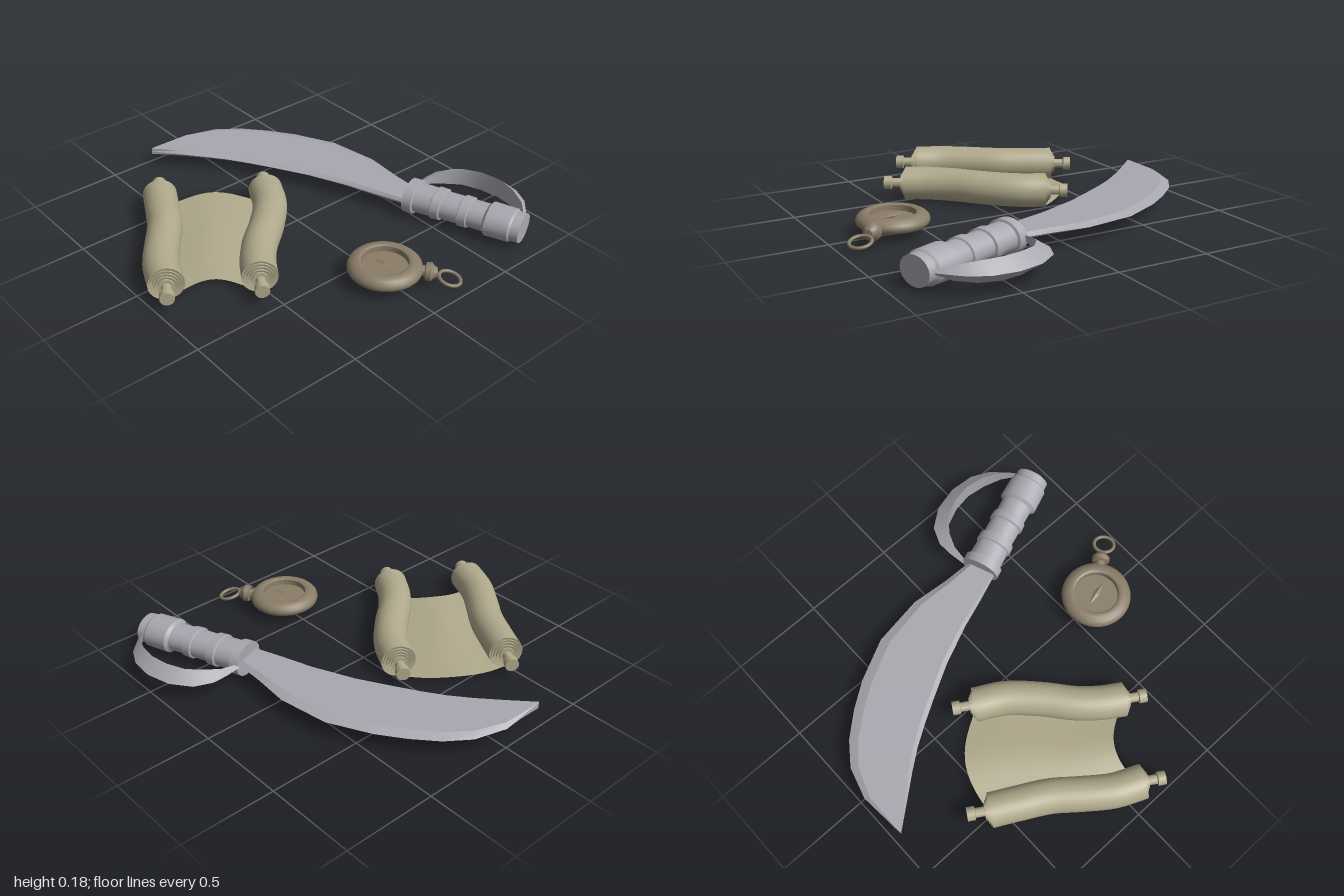
import * as THREE from 'three';
import { toCreasedNormals } from 'three/addons/utils/BufferGeometryUtils.js';

const V3 = (x, y, z) => new THREE.Vector3(x, y, z);
const UP = V3(0, 1, 0);
const MID = 0.1; // height of the sword and scroll axes

const steel = new THREE.MeshStandardMaterial({ color: 0xa9a8b0 });
const parchment = new THREE.MeshStandardMaterial({ color: 0xb0a98c });
const sheetMaterial = new THREE.MeshStandardMaterial({ color: 0xb0a98c, side: THREE.DoubleSide });
const brass = new THREE.MeshStandardMaterial({ color: 0x8a7d68 });

function part(parent, name, geometry, material) {
  const mesh = new THREE.Mesh(geometry, material);
  mesh.name = name;
  parent.add(mesh);
  return mesh;
}

function lathe(profile, sides = 32) {
  const points = profile.map(([r, y]) => new THREE.Vector2(r, y));
  return toCreasedNormals(new THREE.LatheGeometry(points, sides), 0.6);
}

// Lay an object's local y axis along a horizontal direction, its local z staying up
function layAlong(object, position, dir) {
  const d = dir.clone().normalize();
  const basis = new THREE.Matrix4().makeBasis(d.clone().cross(UP), d, UP);
  object.quaternion.setFromRotationMatrix(basis);
  object.position.copy(position);
  return object;
}

// Skin a list of equal-sized rings, closed at both ends
function loft(rings, crease) {
  const n = rings[0].length;
  const last = (rings.length - 1) * n;
  const index = [];
  for (let i = 0; i < rings.length - 1; i++) {
    for (let j = 0; j < n; j++) {
      const a = i * n + j, b = i * n + (j + 1) % n;
      index.push(a, b, a + n, b, b + n, a + n);
    }
  }
  for (let j = 1; j < n - 1; j++) {
    index.push(0, j + 1, j, last, last + j, last + j + 1);
  }
  const geometry = new THREE.BufferGeometry().setFromPoints(rings.flat());
  geometry.setIndex(index);
  return toCreasedNormals(geometry, crease);
}

function createCutlass() {
  const sword = new THREE.Group();
  sword.name = 'cutlass';

  // Blade: [back x, back z, edge x, edge z] from hilt to tip
  const stations = [
    [0.60, 0.32, 0.455, 0.34], [0.605, 0.11, 0.39, 0.17], [0.623, -0.09, 0.333, 0.01],
    [0.58, -0.365, 0.24, -0.20], [0.47, -0.585, 0.14, -0.38], [0.375, -0.72, 0.07, -0.50],
    [0.27, -0.84, 0, -0.61], [0.15, -0.93, -0.08, -0.715], [-0.02, -0.98, -0.17, -0.825],
    [-0.27, -0.962, -0.275, -0.957],
  ];
  const bladeRings = stations.map(([bx, bz, ex, ez]) => {
    const at = (t, y) => V3(bx + (ex - bx) * t, MID + y, bz + (ez - bz) * t);
    const h = 0.017;
    return [at(0, 0), at(0.14, -h), at(0.94, -h), at(1, 0), at(0.94, h), at(0.14, h)];
  });
  part(sword, 'blade', loft(bladeRings, 0.3), steel);

  // Grip: stepped collars, from the blade end to the pommel
  const start = V3(0.53, MID, 0.295);
  const axis = V3(0.22, -0.008, 0.595);
  const profile = [
    [0, 0], [0.106, 0], [0.106, 0.05], [0.092, 0.055], [0.09, 0.15], [0.1, 0.155], [0.098, 0.2],
    [0.086, 0.205], [0.086, 0.3], [0.096, 0.305], [0.094, 0.35], [0.084, 0.355], [0.086, 0.44],
    [0.105, 0.455], [0.102, 0.58], [0.092, 0.59], [0.09, 0.635], [0, 0.635],
  ];
  const grip = layAlong(part(sword, 'grip', lathe(profile), steel), start, V3(axis.x, 0, axis.z));
  grip.scale.z = 0.82;

  // Knuckle guard: [outer x, outer z, inner x, inner z, half height]
  const bow = [
    [0.62, 0.25, 0.62, 0.27, 0.012], [0.71, 0.237, 0.71, 0.275, 0.025], [0.79, 0.235, 0.785, 0.305, 0.04],
    [0.885, 0.275, 0.865, 0.365, 0.05], [0.96, 0.375, 0.91, 0.46, 0.055], [0.995, 0.51, 0.928, 0.565, 0.055],
    [0.985, 0.64, 0.912, 0.67, 0.05], [0.94, 0.735, 0.875, 0.765, 0.035], [0.835, 0.84, 0.825, 0.825, 0.015],
  ];
  const bowRings = bow.map(([ox, oz, ix, iz, h]) =>
    [V3(ox, 0.108, oz), V3(ix, 0.108 + h, iz), V3(ix, 0.108 - h, iz)]);
  part(sword, 'knuckleGuard', loft(bowRings, 0.6), steel);
  return sword;
}

function createScroll() {
  const scroll = new THREE.Group();
  scroll.name = 'scroll';
  const radius = 0.09;
  const endDir = V3(0.53, 0, -0.85).normalize();

  // Centre lines of the two wavy rolls, far end first
  const lines = [
    [[-0.49, -0.555], [-0.56, -0.425], [-0.64, -0.285], [-0.735, -0.165], [-0.835, -0.03], [-0.90, 0.11]],
    [[-0.025, -0.24], [-0.105, -0.1], [-0.235, 0.035], [-0.365, 0.145], [-0.455, 0.245], [-0.525, 0.35]],
  ].map(points => new THREE.CatmullRomCurve3(points.map(([x, z]) => V3(x, MID, z))));

  // Stepped paper layers at a roll's end, then the rod with its knob
  const layers = [];
  for (let i = 0; i < 5; i++) {
    const r = radius - i * 0.012;
    layers.push([r, i * 0.007 - 0.01], [r, i * 0.007]);
  }
  layers.push([0, 0.028]);
  const rod = [[0.025, -0.02], [0.025, 0.075], [0.036, 0.078], [0.036, 0.118], [0, 0.118]];

  for (const line of lines) {
    const roll = new THREE.Group();
    roll.name = 'roll';
    part(roll, 'rolledPaper', new THREE.TubeGeometry(line, 40, radius, 28), sheetMaterial);
    for (const [t, sign] of [[0, 1], [1, -1]]) {
      const end = new THREE.Group();
      end.name = 'rollEnd';
      part(end, 'paperLayers', lathe(layers), parchment);
      part(end, 'rod', lathe(rod, 20), parchment);
      roll.add(layAlong(end, line.getPoint(t), endDir.clone().multiplyScalar(sign)));
    }
    scroll.add(roll);
  }

  // Open sheet bridging the undersides of the rolls, bowed sideways and arched a little
  const sheet = new THREE.PlaneGeometry(1, 1, 20, 24);
  const pos = sheet.attributes.position;
  for (let i = 0; i < pos.count; i++) {
    const u = pos.getX(i) + 0.5, v = 0.5 - pos.getY(i);
    const bulge = Math.sin(Math.PI * u);
    const p = lines[0].getPoint(v).lerp(lines[1].getPoint(v), u).addScaledVector(endDir, 0.09 * bulge);
    pos.setXYZ(i, p.x, 0.012 + 0.025 * bulge * bulge, p.z);
  }
  sheet.computeVertexNormals();
  part(scroll, 'openSheet', sheet, sheetMaterial);
  return scroll;
}

function createCompass() {
  const compass = new THREE.Group();
  compass.name = 'compass';
  compass.position.set(0, 0, 0.66);

  // Case with a sunken dial
  const profile = [
    [0, 0.038], [0.09, 0.041], [0.135, 0.052], [0.155, 0.062], [0.172, 0.064], [0.183, 0.075], [0.186, 0.088],
    [0.182, 0.104], [0.168, 0.118], [0.148, 0.128], [0.128, 0.13], [0.117, 0.124], [0.115, 0.095], [0, 0.095],
  ];
  part(compass, 'case', lathe(profile, 40), brass);

  const needle = part(compass, 'needle', new THREE.OctahedronGeometry(1), brass);
  needle.scale.set(0.018, 0.01, 0.08);
  needle.position.y = 0.106;
  needle.rotation.y = 0.27;

  // Crown and hanging ring
  const dir = V3(0.63, 0, 0.78).normalize();
  const crown = [[0.028, -0.03], [0.028, 0.02], [0.046, 0.025], [0.048, 0.05], [0.034, 0.062], [0.024, 0.08], [0, 0.083]];
  layAlong(part(compass, 'crown', lathe(crown, 16), brass), dir.clone().multiplyScalar(0.175).setY(0.088), dir);

  const ring = part(compass, 'ring', new THREE.TorusGeometry(0.055, 0.009, 10, 32), brass);
  layAlong(ring, V3(0.193, 0.068, 0.251), dir);
  ring.rotateX(-0.25);
  return compass;
}

export function createModel() {
  const model = new THREE.Group();
  model.name = 'adventurerKit';
  model.add(createCutlass(), createScroll(), createCompass());
  return model;
}
